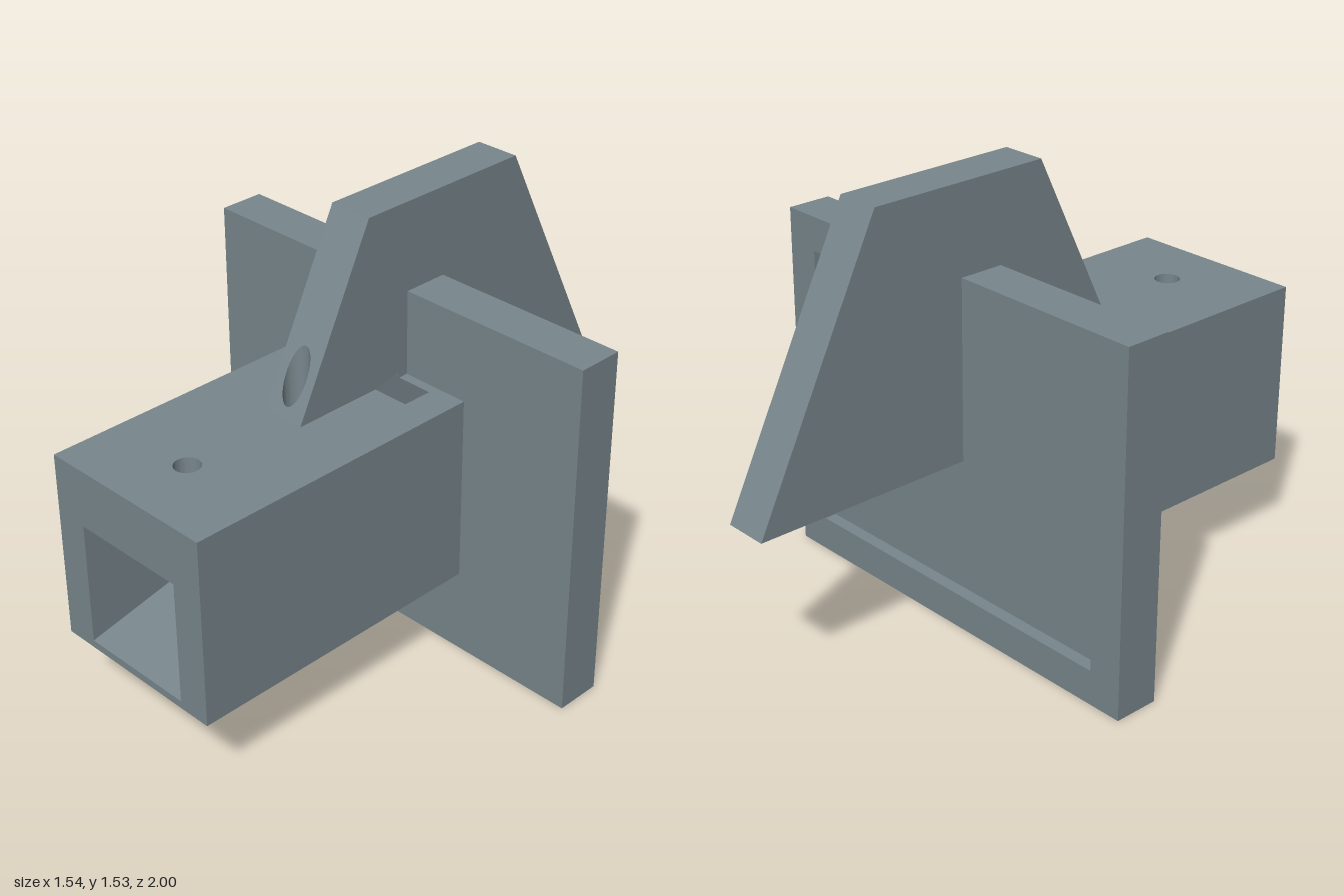
import * as THREE from 'three';
import { toCreasedNormals } from 'three/addons/utils/BufferGeometryUtils.js';

const slate = new THREE.MeshStandardMaterial({ color: 0x78868c });

function add(group, name, geometry) {
  const mesh = new THREE.Mesh(toCreasedNormals(geometry, 0.3), slate);
  mesh.name = name;
  group.add(mesh);
}

function rect(PathType, x0, y0, x1, y1) {
  return new PathType([[x0, y0], [x1, y0], [x1, y1], [x0, y1]].map(p => new THREE.Vector2(...p)));
}

function box(x0, x1, y0, y1, z0, z1) {
  return new THREE.BoxGeometry(x1 - x0, y1 - y0, z1 - z0)
    .translate((x0 + x1) / 2, (y0 + y1) / 2, (z0 + z1) / 2);
}

// Horizontal slab with vertical round holes; bottom and top heights follow z
function slab(halfWidth, z0, z1, holes, bottom, top) {
  const shape = rect(THREE.Shape, -halfWidth, -z1, halfWidth, -z0);
  for (const z of holes) shape.holes.push(new THREE.Path().absarc(0, -z, 0.043, 0, Math.PI * 2, true));
  const g = new THREE.ExtrudeGeometry(shape, { depth: 1, bevelEnabled: false, curveSegments: 20 });
  g.rotateX(-Math.PI / 2);
  const p = g.attributes.position;
  for (let i = 0; i < p.count; i++) {
    p.setY(i, (p.getY(i) > 0.5 ? top : bottom)(p.getZ(i)));
  }
  return g;
}

// Side profile of [z, y] points, extruded across x
function profile(points, halfWidth) {
  const shape = new THREE.Shape(points.map(p => new THREE.Vector2(...p)));
  return new THREE.ExtrudeGeometry(shape, { depth: 2 * halfWidth, bevelEnabled: false })
    .rotateY(-Math.PI / 2).translate(halfWidth, 0, 0);
}

// Upright panel with one rectangular opening, extruded from z0 to z1
function panel(opening, z0, z1) {
  const shape = rect(THREE.Shape, -0.771, 0, 0.771, 1.227);
  shape.holes.push(rect(THREE.Path, ...opening));
  return new THREE.ExtrudeGeometry(shape, { depth: z1 - z0, bevelEnabled: false }).translate(0, 0, z0);
}

export function createModel() {
  const model = new THREE.Group();
  model.name = 'bracket';

  const slope = Math.tan(THREE.MathUtils.degToRad(12));
  const floorY = z => 0.32 + slope * (1 - z);
  const ceilingY = z => 0.739 + slope * (1 - z);
  const roofY = 0.937, baseY = 0.294, plateZ = -0.07, pocketZ = -0.183, backZ = -0.227;
  const inner = 0.205, pocketTop = 1.107, holes = [0.327, 0.762];
  const slotZ = 1 - (roofY - 0.739) / slope;

  // Square sleeve with a channel that climbs to a slot in its roof
  const sleeve = new THREE.Group();
  sleeve.name = 'sleeve';
  model.add(sleeve);
  add(sleeve, 'leftWall', box(inner, 0.32, baseY, roofY, plateZ, 1));
  add(sleeve, 'rightWall', box(-0.32, -inner, baseY, roofY, plateZ, 1));
  add(sleeve, 'rampFloor', slab(inner, plateZ, 1, holes, () => baseY, floorY));
  add(sleeve, 'slopedRoof', slab(inner, slotZ, 1, holes, ceilingY, () => roofY));

  // Tilted end wall of the channel, let into the plate
  add(sleeve, 'channelEnd', profile([
    [-0.036, roofY], [plateZ, roofY], [-0.071, 0.785], [pocketZ, 0.785],
    [pocketZ, 0.54], [plateZ, 0.54], [plateZ, floorY(plateZ)], [-0.12, floorY(-0.12)],
  ], inner));

  // Plate with a shallow pocket in the back
  const plate = new THREE.Group();
  plate.name = 'plate';
  model.add(plate);
  add(plate, 'plateFace', panel([-inner, 0.54, inner, 0.785], pocketZ, plateZ));
  add(plate, 'backRim', panel([-0.65, 0.12, 0.65, pocketTop], backZ, pocketZ));

  // Upright fin over the plate, clear of the pocket; its front slope is drilled from above
  const fin = new THREE.Group();
  fin.name = 'fin';
  model.add(fin);
  const finTop = 1.527, finFrontZ = 0.386, finTopZ = 0.096;
  add(fin, 'finBody', profile([
    [finTopZ, roofY], [finTopZ, finTop], [-0.55, finTop], [-1, 0.615], [backZ, 0.615],
    [backZ, pocketTop], [pocketZ, pocketTop], [pocketZ, roofY],
    [-0.036, roofY], [-0.032, ceilingY(-0.032)], [slotZ, roofY],
  ], 0.077));
  const finSlope = (finTop - roofY) / (finFrontZ - finTopZ);
  add(fin, 'finFront', slab(0.077, finTopZ, finFrontZ, [holes[0]],
    () => roofY, z => roofY + finSlope * (finFrontZ - z)));

  return model;
}
